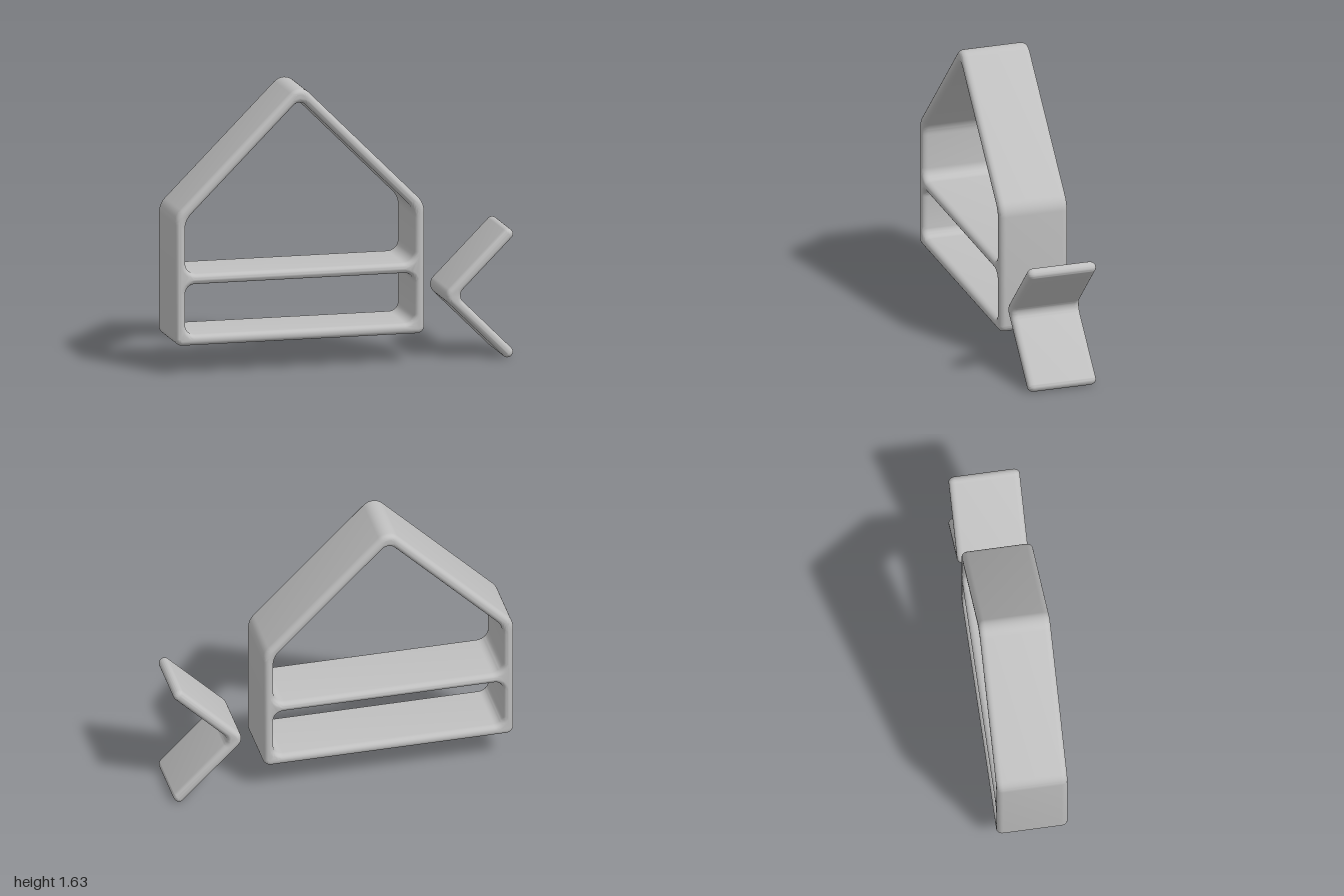
import * as THREE from 'three';
import { toCreasedNormals } from 'three/addons/utils/BufferGeometryUtils.js';

const DEPTH = 0.41; // full depth along z
const BEVEL = 0.028; // rounding of the front and back rims
const BEVEL_Z = 0.036;

// Closed outline from corners [x, y, radius], each corner replaced by an arc
function rounded(path, corners) {
  const n = corners.length;
  corners.forEach(([x, y, r], i) => {
    const c = new THREE.Vector2(x, y);
    const prev = corners[(i + n - 1) % n];
    const next = corners[(i + 1) % n];
    const a = new THREE.Vector2(prev[0], prev[1]).sub(c).normalize();
    const b = new THREE.Vector2(next[0], next[1]).sub(c).normalize();
    const turn = Math.PI - Math.acos(a.dot(b));
    const t = r * Math.tan(turn / 2);
    const k = t - (4 / 3) * Math.tan(turn / 4) * r;
    const p = (dir, d) => c.clone().addScaledVector(dir, d);
    const start = p(a, t), c1 = p(a, k), c2 = p(b, k), end = p(b, t);
    if (i === 0) path.moveTo(start.x, start.y);
    else path.lineTo(start.x, start.y);
    path.bezierCurveTo(c1.x, c1.y, c2.x, c2.y, end.x, end.y);
  });
  path.closePath();
  return path;
}

// Extrude an outline along z with soft rims, centred on z = 0
function softExtrude(name, shape, material) {
  const geometry = new THREE.ExtrudeGeometry(shape, {
    depth: DEPTH - 2 * BEVEL_Z,
    curveSegments: 10,
    bevelEnabled: true,
    bevelSize: BEVEL,
    bevelOffset: -BEVEL,
    bevelThickness: BEVEL_Z,
    bevelSegments: 6,
  });
  geometry.translate(0, 0, BEVEL_Z - DEPTH / 2);
  const mesh = new THREE.Mesh(toCreasedNormals(geometry, 0.9), material);
  mesh.name = name;
  return mesh;
}

export function createModel() {
  const grey = new THREE.MeshStandardMaterial({ color: 0xc0c0c0 });
  grey.name = 'plain grey';
  const group = new THREE.Group();
  group.name = 'houseShelf';

  // House-shaped frame: walls, pitched roof, floor and one shelf
  const apexX = -0.262;
  const house = rounded(new THREE.Shape(), [
    [-1, 0.172, 0.045], [0.475, 0.172, 0.045], [0.475, 0.932, 0.12],
    [apexX, 1.669, 0.08], [-1, 0.932, 0.12],
  ]);
  const lowerOpening = rounded(new THREE.Path(), [
    [-0.938, 0.235, 0.055], [-0.938, 0.528, 0.055],
    [0.413, 0.528, 0.055], [0.413, 0.235, 0.055],
  ]);
  const upperOpening = rounded(new THREE.Path(), [
    [-0.938, 0.588, 0.065], [-0.938, 0.902, 0.12], [apexX, 1.577, 0.05],
    [0.413, 0.902, 0.12], [0.413, 0.588, 0.065],
  ]);
  house.holes.push(lowerOpening, upperOpening);
  group.add(softExtrude('houseFrame', house, grey));

  // Separate V-shaped piece, opening towards +x
  const midY = 0.38;
  const chevron = rounded(new THREE.Shape(), [
    [0.577, midY, 0.06],
    [0.967, midY - 0.39, 0.031], [1.013, midY - 0.344, 0.031],
    [0.669, midY, 0.05],
    [1.013, midY + 0.344, 0.031], [0.967, midY + 0.39, 0.031],
  ]);
  group.add(softExtrude('chevron', chevron, grey));

  return group;
}
